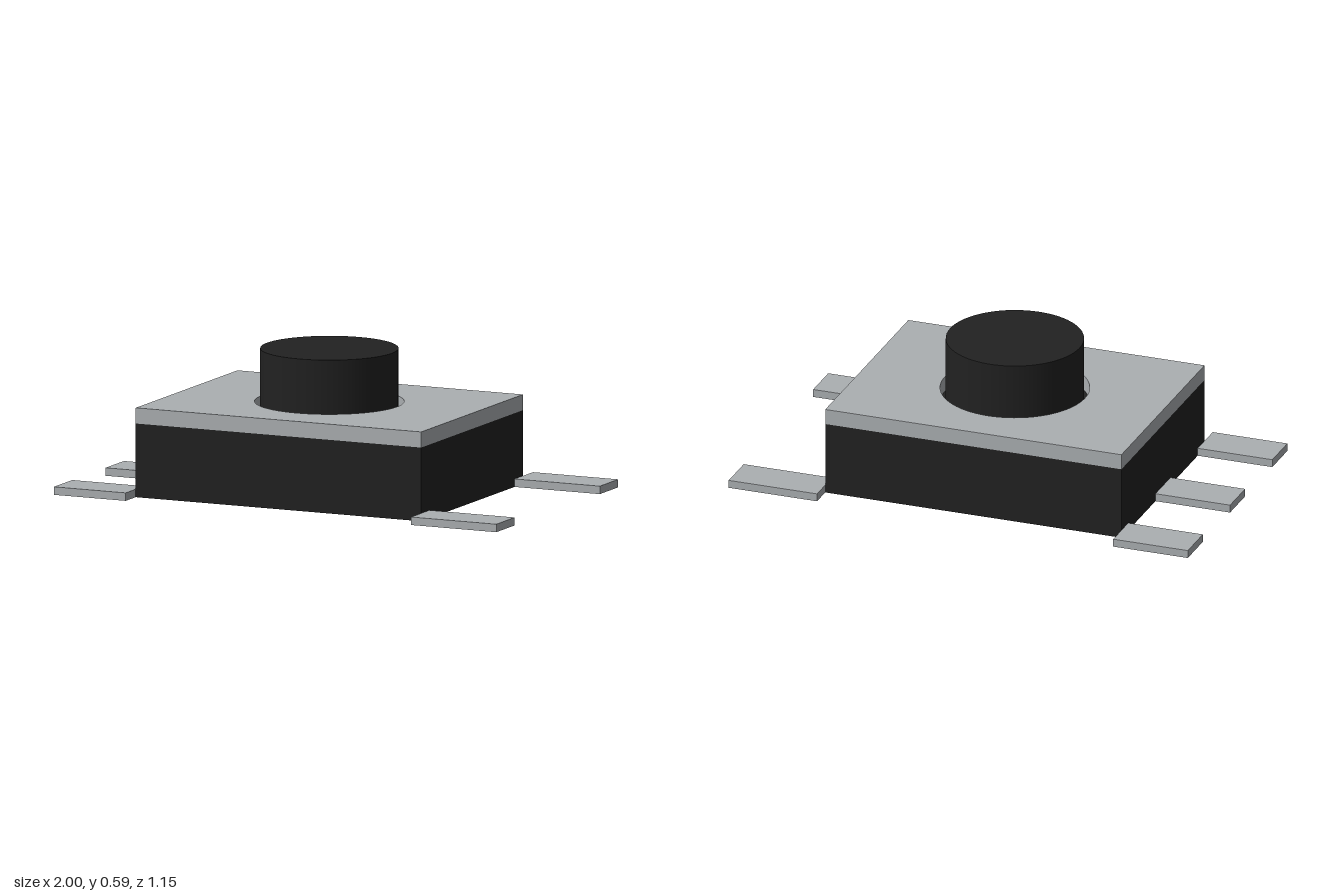
import * as THREE from 'three';

export function createModel() {
  const model = new THREE.Group();
  model.name = 'pushSwitch';
  const black = new THREE.MeshStandardMaterial({ color: 0x212121 });
  black.name = 'black plastic';
  const silver = new THREE.MeshStandardMaterial({ color: 0xabafb2 });
  silver.name = 'silver metal';

  const cx = -0.03, halfW = 0.645, halfD = 0.48;
  const bodyTop = 0.305, coverTop = 0.37, buttonTop = 0.59;

  function add(name, geometry, material, x, y, z) {
    const mesh = new THREE.Mesh(geometry, material);
    mesh.name = name;
    mesh.position.set(x, y, z);
    model.add(mesh);
  }

  // Housing block
  add('housing', new THREE.BoxGeometry(halfW * 2, bodyTop, halfD * 2), black, cx, bodyTop / 2, 0);

  // Metal cover plate with a round opening for the button
  const plate = new THREE.Shape();
  plate.moveTo(-halfW, -halfD);
  plate.lineTo(halfW, -halfD);
  plate.lineTo(halfW, halfD);
  plate.lineTo(-halfW, halfD);
  plate.closePath();
  const opening = new THREE.Path();
  opening.absarc(0, 0, 0.305, 0, Math.PI * 2, true);
  plate.holes.push(opening);
  const cover = new THREE.ExtrudeGeometry(plate, {
    depth: coverTop - bodyTop, bevelEnabled: false, curveSegments: 64,
  });
  cover.rotateX(-Math.PI / 2);
  add('coverPlate', cover, silver, cx, bodyTop, 0);

  // Round push button
  const h = buttonTop - bodyTop;
  add('button', new THREE.CylinderGeometry(0.282, 0.282, h, 64), black, cx, bodyTop + h / 2, 0);

  // Flat solder legs: two on the left side, three on the right side
  function leg(name, x0, x1, z) {
    add(name, new THREE.BoxGeometry(x1 - x0, 0.033, 0.174), silver, (x0 + x1) / 2, 0.0165, z);
  }
  for (const [place, z] of [['front', 0.488], ['back', -0.488]]) {
    leg(place + 'LeftLeg', cx + halfW, 1, z);
    leg(place + 'RightLeg', -1, cx - halfW, z);
  }
  leg('middleRightLeg', -1, cx - halfW, 0);

  return model;
}
